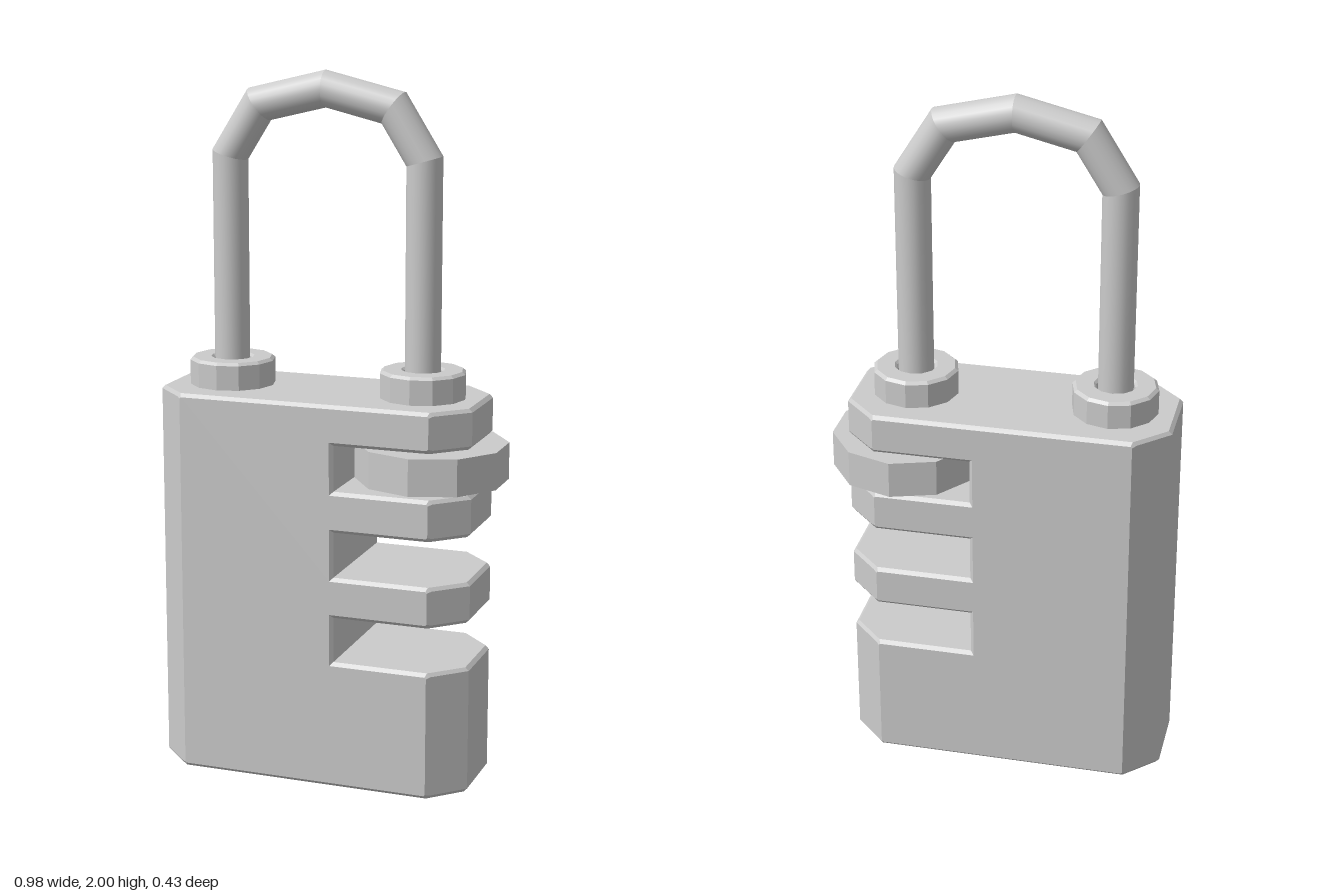
import * as THREE from 'three';

const material = new THREE.MeshStandardMaterial({ color: 0xcccccc });

function addMesh(parent, name, geometry, x = 0, y = 0, z = 0) {
  const mesh = new THREE.Mesh(geometry, material);
  mesh.name = name;
  mesh.position.set(x, y, z);
  parent.add(mesh);
  return mesh;
}

// Comb-shaped body: front outline with three slots, bevelled, vertical corners cut at 45 degrees
function bodyGeometry() {
  const left = -0.49, right = 0.43, top = 1.108, slotX = 0.06, c = 0.01;
  const slots = [[0.37, 0.5], [0.617, 0.747], [0.864, 0.994]];
  const pts = [[left, c], [left + c, 0], [right - c, 0], [right, c]];
  for (const [a, b] of slots) {
    pts.push([right, a - c], [right - c, a], [slotX, a], [slotX, b], [right - c, b], [right, b + c]);
  }
  pts.push([right, top - c], [right - c, top], [left + c, top], [left, top - c]);

  const depth = 0.37;
  const geo = new THREE.ExtrudeGeometry(new THREE.Shape(pts.map(p => new THREE.Vector2(...p))), {
    depth, steps: 3, bevelEnabled: true, bevelSize: c, bevelThickness: c, bevelOffset: -c, bevelSegments: 1,
  });
  geo.translate(0, 0, -depth / 2);

  // Inner layers mark the chamfer start; outer layers pull the side walls in
  const pos = geo.attributes.position;
  const chamfer = 0.085;
  for (let i = 0; i < pos.count; i++) {
    const x = pos.getX(i), z = pos.getZ(i);
    if (Math.abs(z) < 0.1) pos.setZ(i, Math.sign(z) * (depth / 2 - chamfer));
    else if (Math.abs(x) > 0.3) pos.setX(i, x - Math.sign(x) * chamfer);
  }
  geo.computeVertexNormals();
  return geo;
}

// Twelve-sided ring with small bevels, flat faced
function collarGeometry() {
  const profile = [
    [0.055, 0], [0.122, 0], [0.122, 0.085], [0.113, 0.093], [0.062, 0.093], [0.055, 0.086], [0.055, 0],
  ].map(p => new THREE.Vector2(...p));
  const geo = new THREE.LatheGeometry(profile, 12).toNonIndexed();
  geo.computeVertexNormals();
  return geo;
}

// Round bar along a mitred polyline: smooth around, sharp at the bends
function barGeometry(path, radius, sides) {
  const dirs = path.slice(1).map((p, i) => p.clone().sub(path[i]).normalize());
  const normals = dirs.map(d => new THREE.Vector2(-d.y, d.x));
  const miters = path.map((_, i) => {
    const a = normals[Math.max(i - 1, 0)], b = normals[Math.min(i, normals.length - 1)];
    const m = a.clone().add(b).normalize();
    return m.divideScalar(m.dot(a));
  });
  const position = [], normal = [], index = [];
  normals.forEach((n, s) => {
    const start = position.length / 3;
    for (const k of [s, s + 1]) {
      for (let j = 0; j <= sides; j++) {
        const a = (j / sides) * Math.PI * 2, ca = Math.cos(a), sa = Math.sin(a);
        position.push(path[k].x + miters[k].x * ca * radius, path[k].y + miters[k].y * ca * radius, sa * radius);
        normal.push(n.x * ca, n.y * ca, sa);
      }
    }
    for (let j = 0; j < sides; j++) {
      const p = start + j, q = p + sides + 1;
      index.push(p, p + 1, q + 1, p, q + 1, q);
    }
  });
  const geo = new THREE.BufferGeometry();
  geo.setAttribute('position', new THREE.Float32BufferAttribute(position, 3));
  geo.setAttribute('normal', new THREE.Float32BufferAttribute(normal, 3));
  geo.setIndex(index);
  return geo;
}

export function createModel() {
  const model = new THREE.Group();
  model.name = 'padlock';

  addMesh(model, 'body', bodyGeometry(), 0, 0, 0.005);

  // Ten-sided number wheel in the top slot
  const dial = new THREE.CylinderGeometry(0.2155, 0.2155, 0.105, 10).toNonIndexed();
  dial.computeVertexNormals();
  addMesh(model, 'dial', dial, 0.282, 0.928, -0.003);

  // Collars where the shackle enters the body
  const middle = -0.029, half = 0.285;
  for (const [name, side] of [['rightCollar', -1], ['leftCollar', 1]]) {
    addMesh(model, name, collarGeometry(), middle + side * half, 1.093, 0.003);
  }

  // Shackle: two legs and a four-piece arch
  const leg = [[half, 1.06], [half, 1.76], [0.196, 1.901]];
  const path = [
    ...leg.map(([x, y]) => new THREE.Vector2(-x, y)),
    new THREE.Vector2(0, 1.948),
    ...leg.slice().reverse().map(([x, y]) => new THREE.Vector2(x, y)),
  ];
  addMesh(model, 'shackle', barGeometry(path, 0.05, 20), middle, 0, 0.005);

  return model;
}
